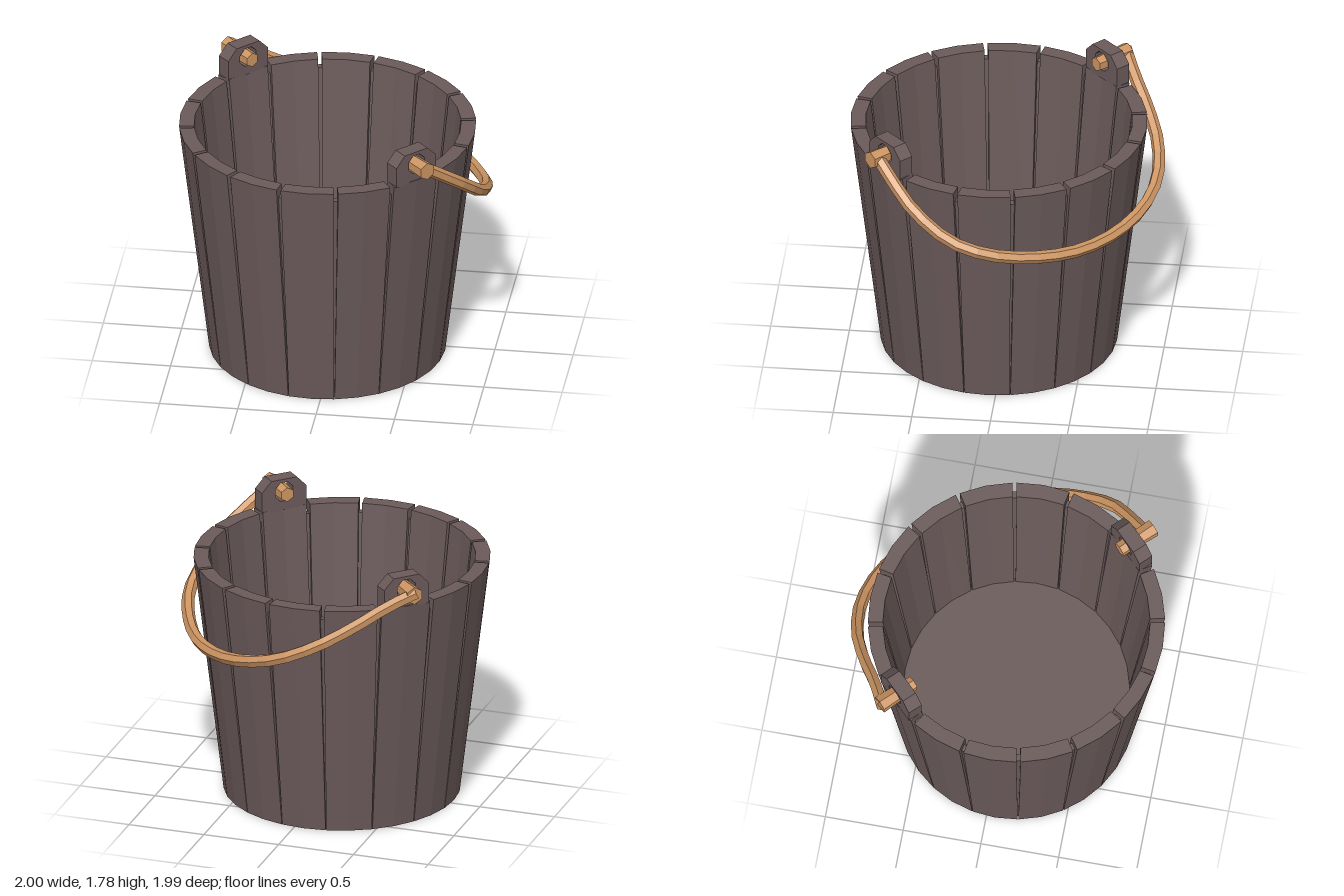
import * as THREE from 'three';

const H = 1.58, R = 0.94, INNER = 0.845, STAVES = 16;
const CX = -0.06, CZ = 0.055;
const taper = (y) => 0.798 + 0.202 * (y / H);

const wood = new THREE.MeshStandardMaterial({ color: 0x6b5a5a, flatShading: true });
const paleWood = new THREE.MeshStandardMaterial({ color: 0xcd9562, flatShading: true, side: THREE.DoubleSide });

function add(parent, name, geometry, material) {
  const mesh = new THREE.Mesh(geometry, material);
  mesh.name = name;
  parent.add(mesh);
  return mesh;
}

// One stave facing +z: a two-segment arc, narrower at the foot, gap closing downwards
function staveGeometry() {
  const half = Math.PI / STAVES;
  const at = (r, a) => new THREE.Vector2(r * Math.sin(a), -r * Math.cos(a));
  const shape = new THREE.Shape([
    at(R, -half), at(R, 0), at(R, half), at(INNER, half), at(INNER, 0), at(INNER, -half),
  ]);
  const geo = new THREE.ExtrudeGeometry(shape, { depth: H, bevelEnabled: false });
  geo.rotateX(-Math.PI / 2);
  const p = geo.attributes.position;
  for (let i = 0; i < p.count; i++) {
    const y = p.getY(i), k = taper(y);
    const r = Math.hypot(p.getX(i), p.getZ(i)) * k;
    const a = Math.atan2(p.getX(i), p.getZ(i)) * (0.985 - 0.06 * (y / H));
    p.setXYZ(i, r * Math.sin(a), y, r * Math.cos(a));
  }
  geo.computeVertexNormals();
  return geo;
}

// Chamfered ear with a hole for the handle peg
function earGeometry() {
  const w = 0.157;
  const shape = new THREE.Shape([
    [-w, -0.01], [w, -0.01], [w, 0.13], [0.09, 0.2], [-0.09, 0.2], [-w, 0.13],
  ].map(([x, y]) => new THREE.Vector2(x, y)));
  const hole = [];
  for (let i = 0; i < 8; i++) {
    const a = -(i + 0.5) * Math.PI / 4;
    hole.push(new THREE.Vector2(0.068 * Math.cos(a), 0.115 + 0.068 * Math.sin(a)));
  }
  shape.holes.push(new THREE.Path(hole));
  const geo = new THREE.ExtrudeGeometry(shape, { depth: 0.098, bevelEnabled: false });
  geo.translate(0, H, 0.835);
  return geo;
}

export function createModel() {
  const model = new THREE.Group();
  model.name = 'bucket';
  const tub = new THREE.Group();
  tub.name = 'tub';
  tub.position.set(CX, 0, CZ);
  model.add(tub);

  // Ring of staves
  const stave = staveGeometry();
  for (let i = 0; i < STAVES; i++) {
    add(tub, 'stave', stave, wood).rotation.y = (i / STAVES) * Math.PI * 2;
  }

  // Thin lining that closes the gaps below the rim notches
  const top = 1.51;
  const lining = [
    [0.87 * taper(0), 0.004], [0.915 * taper(0), 0.004],
    [0.915 * taper(top), top], [0.87 * taper(top), top], [0.87 * taper(0), 0.004],
  ].map(([x, y]) => new THREE.Vector2(x, y));
  add(tub, 'lining', new THREE.LatheGeometry(lining, 32), wood);

  // Bottom board
  const floorTop = 0.37;
  const floor = add(tub, 'bottomBoard',
    new THREE.CylinderGeometry(0.88 * taper(floorTop), 0.88 * taper(0), floorTop, 32), wood);
  floor.position.y = floorTop / 2 + 0.002;

  // Two opposite ears, each with a peg
  const ear = earGeometry();
  for (const angle of [Math.PI / 4, Math.PI * 5 / 4]) {
    const side = new THREE.Group();
    side.name = 'handleMount';
    side.rotation.y = angle;
    add(side, 'ear', ear, wood);
    const peg = add(side, 'peg', new THREE.CylinderGeometry(0.058, 0.048, 0.26, 6), paleWood);
    peg.rotation.x = Math.PI / 2;
    peg.position.set(0, 1.69, 0.92);
    tub.add(side);
  }

  // Bent handle hanging down over one side
  const path = [
    [0.63, 1.71, 0.77], [0.73, 1.61, 0.67], [0.87, 1.46, 0.51], [0.95, 1.29, 0.27],
    [0.955, 1.21, 0.05], [0.88, 1.15, -0.2], [0.72, 1.115, -0.5], [0.5, 1.125, -0.73],
    [0.25, 1.18, -0.89], [0, 1.26, -0.957], [-0.24, 1.37, -0.935], [-0.45, 1.49, -0.85],
    [-0.65, 1.62, -0.74], [-0.81, 1.705, -0.67],
  ].map((p) => new THREE.Vector3(...p));
  const curve = new THREE.CatmullRomCurve3(path);
  add(model, 'handle', new THREE.TubeGeometry(curve, 26, 0.041, 6), paleWood);

  return model;
}
